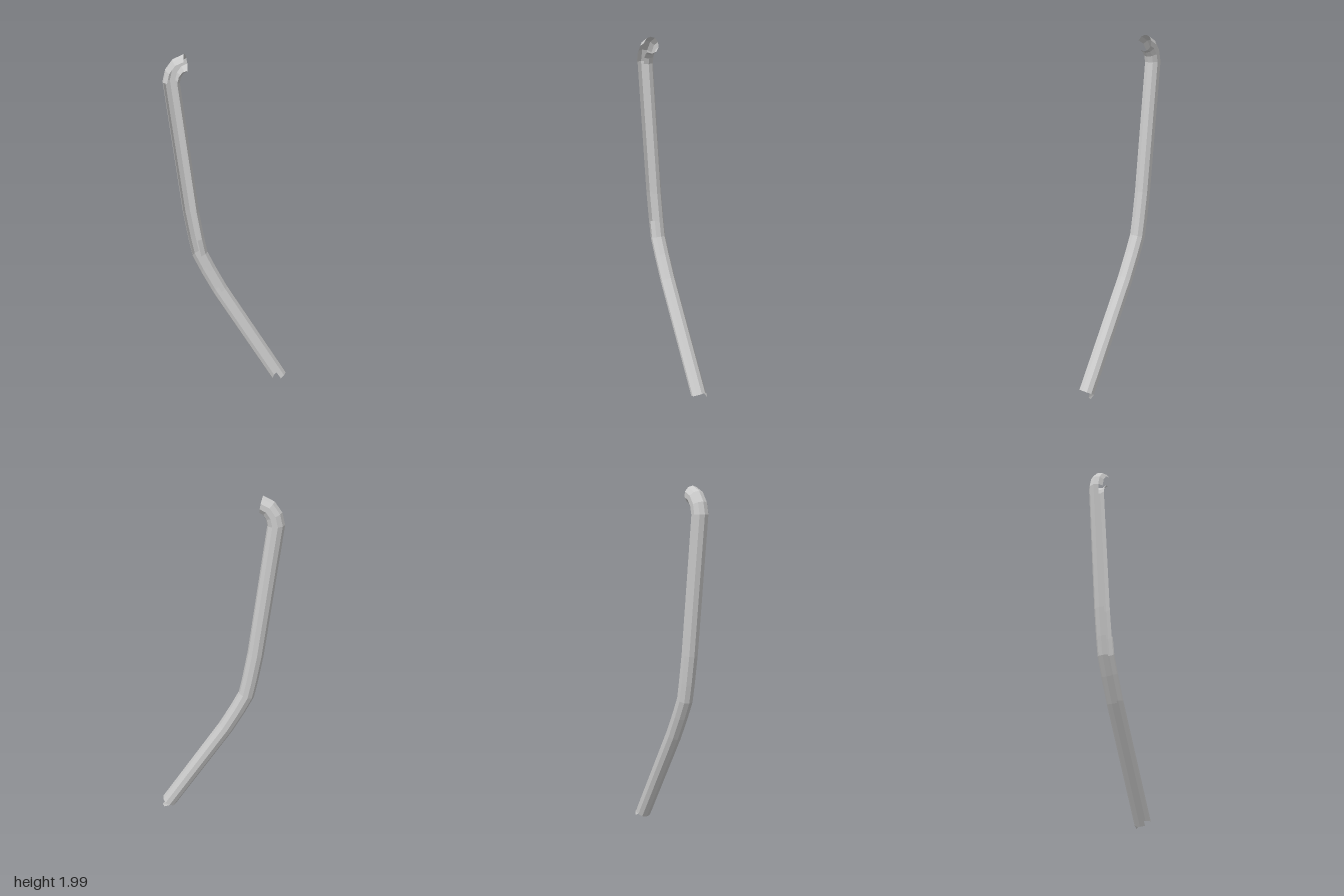
import * as THREE from 'three';

const SIDES = 10, R = 0.046;
// Centre line from the foot up to the hook
const PATH = [
  [0.308, 0.035], [-0.053, 0.62], [-0.122, 0.75], [-0.17, 0.85], [-0.19, 0.95],
  [-0.217, 1.11], [-0.307, 1.852], [-0.295, 1.9], [-0.267, 1.938], [-0.228, 1.956],
].map(([x, y]) => new THREE.Vector2(x, y));
const KNEE = 4, HOOK = 6;

const material = new THREE.MeshStandardMaterial({
  color: 0xcccccc, flatShading: true, side: THREE.DoubleSide,
});

// Direction of the path at ring i, averaged at bends
function tangent(i) {
  const t = new THREE.Vector2();
  if (i > 0) t.add(PATH[i].clone().sub(PATH[i - 1]).normalize());
  if (i < PATH.length - 1) t.add(PATH[i + 1].clone().sub(PATH[i]).normalize());
  if (i === PATH.length - 1) t.set(0.985, 0.17);
  return t.normalize();
}

// Point at ring i: across the tube, along it, and in depth
function place(i, across, along, z) {
  const t = tangent(i);
  return [PATH[i].x + t.y * across + t.x * along, PATH[i].y - t.x * across + t.y * along, z];
}

function ringPoint(i, k) {
  const a = (k / SIDES) * Math.PI * 2;
  return place(i, R * Math.cos(a), 0, R * Math.sin(a));
}

function panelMesh(name, quads) {
  const pos = quads.flatMap(([a, b, c, d]) => [...a, ...b, ...c, ...a, ...c, ...d]);
  const geo = new THREE.BufferGeometry();
  geo.setAttribute('position', new THREE.Float32BufferAttribute(pos, 3));
  geo.computeVertexNormals();
  const mesh = new THREE.Mesh(geo, material);
  mesh.name = name;
  return mesh;
}

// Tube section with the listed side panels left open
function section(name, from, to, open) {
  const quads = [];
  for (let i = from; i < to; i++)
    for (let k = 0; k < SIDES; k++)
      if (!open.includes(k))
        quads.push([ringPoint(i, k), ringPoint(i + 1, k), ringPoint(i + 1, k + 1), ringPoint(i, k + 1)]);
  return panelMesh(name, quads);
}

export function createModel() {
  const group = new THREE.Group();
  group.name = 'bentChannel';
  // Channel, open along the front
  group.add(section('lowerChannel', 0, KNEE, [2, 3]));
  group.add(section('upperChannel', KNEE, HOOK, [1, 2, 3]));
  group.add(section('hook', HOOK, PATH.length - 1, [1, 2]));
  // Small tongue past the back of the foot
  group.add(panelMesh('footTongue', [[
    place(0, -0.014, 0, -0.044), place(0, 0.024, 0, -0.04),
    place(0, 0.024, -0.022, -0.041), place(0, 0.006, -0.029, -0.046),
  ]]));
  return group;
}
